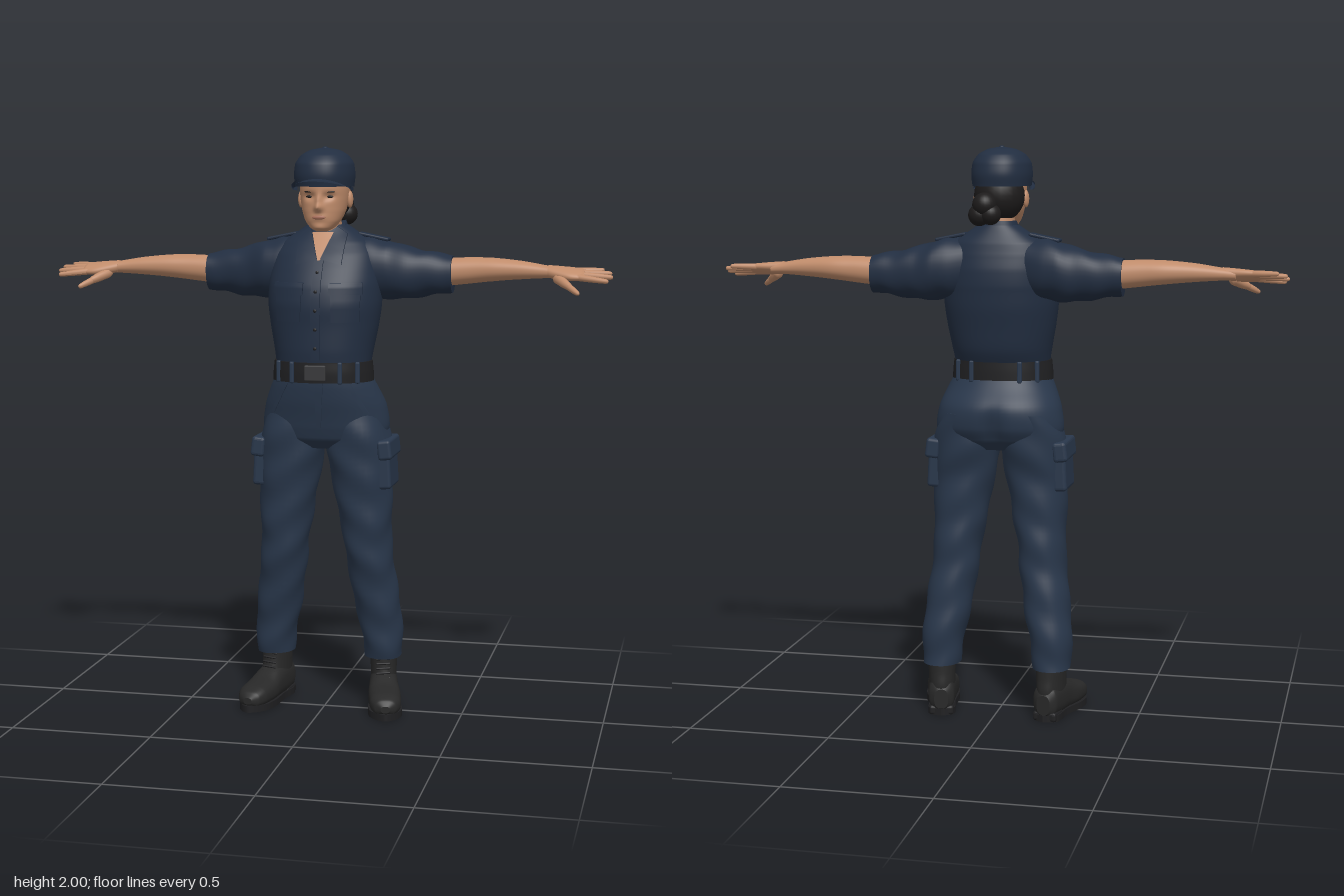
import * as THREE from 'three';
import { RoundedBoxGeometry } from 'three/addons/geometries/RoundedBoxGeometry.js';

const mat = (name, color) => Object.assign(new THREE.MeshStandardMaterial({ color }), { name });
const { sin, cos, abs, exp, PI, sign, max } = Math;

// Join closed rings of points into a smooth skin with flat end caps
function skin(rings) {
  const n = rings[0].length, pos = [], idx = [];
  rings.forEach(r => r.forEach(p => pos.push(p.x, p.y, p.z)));
  for (let i = 0; i < rings.length - 1; i++) for (let j = 0; j < n; j++) {
    const k = (j + 1) % n, a = i * n + j, b = i * n + k;
    idx.push(a, a + n, b, a + n, b + n, b);
  }
  for (const [ring, end] of [[rings[0], false], [rings[rings.length - 1], true]]) {
    const base = pos.length / 3, c = new THREE.Vector3();
    ring.forEach(p => { pos.push(p.x, p.y, p.z); c.addScaledVector(p, 1 / n); });
    pos.push(c.x, c.y, c.z);
    for (let j = 0; j < n; j++) {
      const a = base + j, b = base + (j + 1) % n;
      end ? idx.push(a, base + n, b) : idx.push(a, b, base + n);
    }
  }
  const g = new THREE.BufferGeometry();
  g.setAttribute('position', new THREE.Float32BufferAttribute(pos, 3));
  g.setIndex(idx);
  g.computeVertexNormals();
  return g;
}

// Stations are [position on axis, centre, centre, radius, radius], axis ascending
function loft(axis, st, { seg = 40, n = 2.2, deform } = {}) {
  const cA = new THREE.CatmullRomCurve3(st.map(s => new THREE.Vector3(s[0], s[1], s[2])));
  const cB = new THREE.CatmullRomCurve3(st.map(s => new THREE.Vector3(s[3], s[4], 0)));
  const rows = (st.length - 1) * 6, rings = [], se = v => sign(v) * abs(v) ** (2 / n);
  for (let i = 0; i <= rows; i++) {
    const p = cA.getPoint(i / rows), r = cB.getPoint(i / rows), ring = [];
    for (let j = 0; j < seg; j++) {
      const a = j / seg * 2 * PI, u = r.x * se(cos(a)), w = r.y * se(sin(a));
      const v = axis === 'y' ? new THREE.Vector3(p.y + u, p.x, p.z + w)
        : axis === 'x' ? new THREE.Vector3(p.x, p.z + w, p.y + u)
          : new THREE.Vector3(p.y + u, p.z - w, p.x);
      if (deform) deform(v);
      ring.push(v);
    }
    rings.push(ring);
  }
  return skin(rings);
}

// Front depth of a body loft at x, y
function frontZ(st, x, y, n = 2.2) {
  let i = 0;
  while (i < st.length - 2 && st[i + 1][0] < y) i++;
  const t = THREE.MathUtils.clamp((y - st[i][0]) / (st[i + 1][0] - st[i][0]), 0, 1);
  const [, , cz, rx, rz] = st[i].map((v, k) => v + (st[i + 1][k] - v) * t);
  return cz + rz * max(0, 1 - abs(x / rx) ** n) ** (1 / n);
}

// Thin four-cornered plate draped over the front: top left, top right, bottom right, bottom left
function plate(st, [a, b, c, d], lift = 0.004) {
  const g = new THREE.BoxGeometry(1, 1, 0.009, 8, 8, 1), p = g.attributes.position;
  for (let i = 0; i < p.count; i++) {
    const u = p.getX(i) + 0.5, v = 0.5 - p.getY(i);
    const f = k => (a[k] * (1 - u) + b[k] * u) * (1 - v) + (d[k] * (1 - u) + c[k] * u) * v;
    p.setXYZ(i, f(0), f(1), frontZ(st, f(0), f(1)) + p.getZ(i) + lift);
  }
  g.computeVertexNormals();
  return g;
}

const ball = (x, y, z, a, b, c) => new THREE.SphereGeometry(1, 24, 16).scale(a, b, c).translate(x, y, z);
const rbox = (w, h, d, r = 0.005) => new RoundedBoxGeometry(w, h, d, 2, r);

// Tapered rounded rod between two points
function rod(a, b, r0, r1) {
  const A = new THREE.Vector3(...a), B = new THREE.Vector3(...b), dir = B.clone().sub(A), L = dir.length();
  const pts = [[0, -r0], [r0 * 0.7, -r0 * 0.7], [r0, 0], [(r0 + r1) * 0.52, L / 2], [r1, L - r1], [r1 * 0.7, L - r1 * 0.3], [0, L]];
  const g = new THREE.LatheGeometry(pts.map(p => new THREE.Vector2(...p)), 12);
  return g.applyQuaternion(new THREE.Quaternion().setFromUnitVectors(new THREE.Vector3(0, 1, 0), dir.normalize()))
    .translate(A.x, A.y, A.z);
}

function mirrored(geo) {
  const g = geo.clone().scale(-1, 1, 1);
  if (!g.index) g.setIndex([...Array(g.attributes.position.count).keys()]);
  const ix = g.index.array;
  for (let i = 0; i < ix.length; i += 3) [ix[i], ix[i + 1]] = [ix[i + 1], ix[i]];
  g.computeVertexNormals();
  return g;
}

export function createModel() {
  const root = new THREE.Group();
  root.name = 'uniformedFigure';
  const navy = mat('navy shirt', 0x222e41), blue = mat('navy trousers', 0x29374b), skinM = mat('skin', 0xc08c6b),
    hair = mat('black hair', 0x1d1b1b), boot = mat('black boot leather', 0x282828), leather = mat('black belt', 0x202022),
    metal = mat('dark buckle', 0x38383a), lip = mat('lips', 0xa56c58);
  const add = (name, g, m) => { const o = new THREE.Mesh(g, m); o.name = name; root.add(o); };
  const pair = (name, g, m) => { add(name + 'Left', g, m); add(name + 'Right', mirrored(g), m); };
  const folds = v => { v.z += 0.004 * sin(v.y * 42 + v.x * 24); v.x += 0.003 * sin(v.y * 36 + v.z * 25); };

  // Shirt
  const torso = [[1.24, 0, 0.015, 0.165, 0.13], [1.3, 0, 0.004, 0.175, 0.146], [1.38, 0, -0.004, 0.19, 0.153],
    [1.46, 0, -0.01, 0.2, 0.16], [1.52, 0, -0.018, 0.2, 0.157], [1.58, 0, -0.032, 0.195, 0.14],
    [1.63, 0, -0.042, 0.185, 0.118], [1.67, 0, -0.052, 0.16, 0.096], [1.7, 0, -0.057, 0.115, 0.076], [1.73, 0, -0.06, 0.07, 0.06]];
  add('shirtBody', loft('y', torso, { seg: 64 }), navy);
  pair('sleeve', loft('x', [[0.1, -0.06, 1.585, 0.085, 0.1], [0.17, -0.067, 1.58, 0.1, 0.105], [0.22, -0.072, 1.572, 0.1, 0.102],
    [0.28, -0.08, 1.563, 0.084, 0.092], [0.36, -0.086, 1.56, 0.071, 0.077], [0.44, -0.088, 1.56, 0.063, 0.065]],
  { deform: v => { v.y += 0.003 * sin(v.x * 60 + v.z * 30); } }), navy);
  add('placket', plate(torso, [[-0.016, 1.61], [0.016, 1.61], [0.016, 1.27], [-0.016, 1.27]]), navy);
  for (let i = 0; i < 5; i++) {
    const y = 1.57 - i * 0.065;
    add('button', ball(0, y, frontZ(torso, 0, y) + 0.009, 0.006, 0.006, 0.003), leather);
  }
  pair('chestPocket', plate(torso, [[0.05, 1.52], [0.15, 1.52], [0.145, 1.4], [0.055, 1.4]]), navy);
  pair('chestPocketFlap', plate(torso, [[0.045, 1.535], [0.155, 1.535], [0.155, 1.495], [0.045, 1.495]], 0.011), navy);
  pair('epaulette', rbox(0.11, 0.012, 0.055).rotateZ(-0.2).translate(0.165, 1.688, -0.065), navy);
  add('collarStand', loft('y', [[1.67, 0, -0.06, 0.09, 0.075], [1.71, 0, -0.058, 0.076, 0.066], [1.745, 0, -0.055, 0.064, 0.06]],
    { deform: v => { v.y -= 0.06 * max(0, (v.z + 0.06) / 0.07); } }), navy);
  add('openNeckline', plate(torso, [[-0.05, 1.705], [0.05, 1.705], [0.004, 1.61], [-0.004, 1.61]], 0.006), skinM);
  pair('collarFlap', plate(torso, [[0.046, 1.725], [0.085, 1.7], [0.08, 1.595], [0.006, 1.615]], 0.013), navy);

  // Belt
  add('belt', loft('y', [[1.19, 0, 0.015, 0.178, 0.14], [1.225, 0, 0.016, 0.176, 0.141], [1.26, 0, 0.016, 0.172, 0.14]], { seg: 64 }), leather);
  add('beltBuckle', rbox(0.075, 0.055, 0.014).translate(0, 1.225, 0.157), metal);
  for (const x of [0.085, 0.14]) {
    const z = 0.016 + 0.141 * (1 - (x / 0.176) ** 2.2) ** (1 / 2.2);
    for (const zz of [z, 0.032 - z]) pair('beltLoop', rbox(0.016, 0.075, 0.016).translate(x, 1.225, zz), blue);
  }

  // Trousers
  const hips = [[0.95, 0, -0.025, 0.13, 0.09], [0.985, 0, -0.028, 0.212, 0.128], [1.03, 0, -0.033, 0.226, 0.147],
    [1.1, 0, -0.026, 0.215, 0.157], [1.17, 0, 0.002, 0.187, 0.142], [1.21, 0, 0.015, 0.168, 0.132]];
  add('trouserHips', loft('y', hips, {
    seg: 64, deform: v => { if (v.z < 0) v.z += 0.02 * exp(-((v.x / 0.03) ** 2)) * exp(-(((v.y - 1.02) / 0.07) ** 2)); }
  }), blue);
  pair('trouserLeg', loft('y', [[0.18, 0.2, -0.09, 0.066, 0.083], [0.25, 0.197, -0.085, 0.071, 0.09], [0.35, 0.184, -0.075, 0.079, 0.095],
    [0.5, 0.163, -0.05, 0.082, 0.1], [0.6, 0.152, -0.037, 0.083, 0.106], [0.7, 0.144, -0.03, 0.093, 0.107],
    [0.85, 0.13, -0.022, 0.107, 0.113], [0.97, 0.119, -0.025, 0.117, 0.127], [1.08, 0.11, -0.03, 0.095, 0.13]], { deform: folds }), blue);
  add('fly', plate(hips, [[-0.004, 1.19], [0.026, 1.19], [0.012, 1.03], [-0.004, 1.03]], 0.002), blue);
  pair('frontPocket', plate(hips, [[0.1, 1.19], [0.115, 1.19], [0.175, 1.08], [0.16, 1.08]], 0.002), blue);
  pair('cargoPocket', rbox(0.05, 0.15, 0.165, 0.012).rotateZ(0.05).translate(0.222, 0.885, -0.022), blue);
  pair('cargoPocketFlap', rbox(0.05, 0.07, 0.195, 0.012).rotateZ(0.12).translate(0.227, 0.95, -0.022), blue);

  // Boots, toes turned outwards
  const bootPart = (name, g, m) => pair(name, g.rotateY(0.19).translate(0.2, 0, -0.09), m);
  bootPart('bootFoot', loft('z', [[-0.085, 0, 0.06, 0.025, 0.035], [-0.065, 0, 0.07, 0.045, 0.058], [0, 0, 0.072, 0.05, 0.064],
    [0.06, 0, 0.067, 0.053, 0.058], [0.12, 0.003, 0.054, 0.058, 0.045], [0.19, 0.005, 0.048, 0.055, 0.038],
    [0.225, 0.005, 0.043, 0.04, 0.028], [0.24, 0.005, 0.04, 0.016, 0.012]], { n: 2.5 }), boot);
  bootPart('bootShaft', loft('y', [[0.04, 0, 0, 0.045, 0.075], [0.1, 0, -0.006, 0.046, 0.078], [0.15, 0, -0.008, 0.048, 0.072], [0.22, 0, -0.008, 0.052, 0.07]]), boot);
  const sole = new THREE.Shape();
  sole.moveTo(0, -0.088);
  sole.splineThru([[0.045, -0.06], [0.046, 0.03], [0.064, 0.13], [0.055, 0.2], [0.005, 0.246], [-0.045, 0.2], [-0.056, 0.13],
    [-0.046, 0.03], [-0.045, -0.06], [0, -0.088]].map(p => new THREE.Vector2(...p)));
  bootPart('bootSole', new THREE.ExtrudeGeometry(sole, { depth: 0.024, bevelEnabled: false, curveSegments: 40 })
    .rotateX(PI / 2).translate(0, 0.024, 0), leather);
  bootPart('bootHeel', rbox(0.088, 0.034, 0.075, 0.01).translate(0, 0.017, -0.042), leather);
  for (let i = 0; i < 5; i++)
    bootPart('bootLace', rod([-0.025, 0.11 + i * 0.016, 0.078 - i * 0.005], [0.025, 0.113 + i * 0.016, 0.078 - i * 0.005], 0.004, 0.004), leather);

  // Arms and hands
  pair('arm', loft('x', [[0.38, -0.088, 1.562, 0.054, 0.05], [0.5, -0.088, 1.572, 0.052, 0.046], [0.58, -0.086, 1.576, 0.053, 0.041],
    [0.68, -0.076, 1.576, 0.043, 0.032], [0.78, -0.065, 1.571, 0.03, 0.021], [0.82, -0.06, 1.568, 0.031, 0.019]]), skinM);
  const tilt = g => g.translate(0, -1.565, 0.05).rotateX(0.32).translate(0, 1.565, -0.05);
  pair('palm', tilt(loft('x', [[0.775, -0.062, 1.57, 0.028, 0.02], [0.81, -0.056, 1.568, 0.036, 0.02], [0.855, -0.05, 1.566, 0.044, 0.018],
    [0.89, -0.05, 1.565, 0.042, 0.015], [0.9, -0.05, 1.565, 0.034, 0.01]])), skinM);
  [[[0.875, -0.081], [0.965, -0.104]], [[0.885, -0.062], [0.993, -0.073]], [[0.888, -0.041], [0.998, -0.036]], [[0.88, -0.02], [0.985, 0.004]]]
    .forEach(([a, b]) => pair('finger', tilt(rod([a[0], 1.565, a[1]], [b[0], 1.56, b[1]], 0.012, 0.008)), skinM));
  pair('thumb', rod([0.81, 1.55, -0.035], [0.86, 1.522, 0.025], 0.018, 0.013), skinM);
  pair('thumbTip', rod([0.855, 1.524, 0.02], [0.89, 1.503, 0.057], 0.012, 0.008), skinM);

  // Head with nose, brow and eye sockets shaped by rule
  const bump = (v, x, y, w, h) => exp(-(((abs(v.x) - x) / w) ** 2) - ((v.y - y) / h) ** 2);
  add('neck', loft('y', [[1.6, 0, -0.055, 0.06, 0.06], [1.68, 0, -0.045, 0.053, 0.056], [1.78, 0, -0.03, 0.05, 0.058]]), skinM);
  const head = [[1.708, 0, 0.045, 0.018, 0.025], [1.72, 0, 0.036, 0.04, 0.052], [1.745, 0, 0.022, 0.061, 0.071], [1.78, 0, 0.005, 0.075, 0.09],
    [1.82, 0, -0.005, 0.083, 0.101], [1.86, 0, -0.008, 0.086, 0.107], [1.92, 0, -0.008, 0.084, 0.105]];
  add('head', loft('y', head, {
    seg: 96, deform: v => {
      if (v.z > 0) v.z += 0.024 * bump(v, 0, 1.79, 0.014, 0.013) + 0.014 * bump(v, 0, 1.815, 0.01, 0.02)
        - 0.012 * bump(v, 0.034, 1.828, 0.02, 0.012) + 0.005 * bump(v, 0, 1.757, 0.025, 0.01) + 0.004 * bump(v, 0, 1.722, 0.02, 0.012);
    }
  }), skinM);
  pair('eye', ball(0.034, 1.828, frontZ(head, 0.034, 1.828) - 0.011, 0.014, 0.005, 0.004), hair);
  pair('eyebrow', rbox(0.034, 0.005, 0.006, 0.002).rotateY(0.3).translate(0.036, 1.845, frontZ(head, 0.036, 1.845) - 0.004), hair);
  add('lips', ball(0, 1.757, frontZ(head, 0, 1.757) + 0.003, 0.024, 0.007, 0.005), lip);
  pair('ear', ball(0.087, 1.818, -0.015, 0.011, 0.03, 0.018), skinM);
  add('hairBack', ball(0, 1.83, -0.045, 0.088, 0.092, 0.085), hair);
  [[0.035, 1.8, -0.125, 0.042], [0.055, 1.765, -0.118, 0.038], [0.015, 1.768, -0.123, 0.037]]
    .forEach(([x, y, z, r]) => add('hairBun', ball(x, y, z, r, r, r), hair));

  // Cap with a curved peak
  add('capCrown', loft('y', [[1.862, 0, -0.002, 0.1, 0.126], [1.9, 0, -0.002, 0.104, 0.131], [1.94, 0, -0.002, 0.1, 0.124],
    [1.97, 0, -0.004, 0.08, 0.1], [1.988, 0, -0.006, 0.048, 0.06], [1.995, 0, -0.008, 0.012, 0.014]], { seg: 64 }), navy);
  add('capButton', ball(0, 1.994, -0.008, 0.01, 0.006, 0.01), navy);
  const peak = [];
  for (let i = 0; i <= 32; i++) {
    const a = -1.5 + 3 * i / 32, c = cos(a), y = 1.851 + 0.045 * c;
    const at = (out, dy) => new THREE.Vector3((0.095 + 0.012 * out) * sin(a), y + dy - 0.012 * out * c, 0.115 * c + 0.08 * out * c ** 0.8);
    peak.push([at(0, 0.008), at(0.5, 0.007), at(1, 0.004), at(1, -0.004), at(0.5, -0.005), at(0, -0.006)]);
  }
  add('capPeak', skin(peak), navy);
  return root;
}
